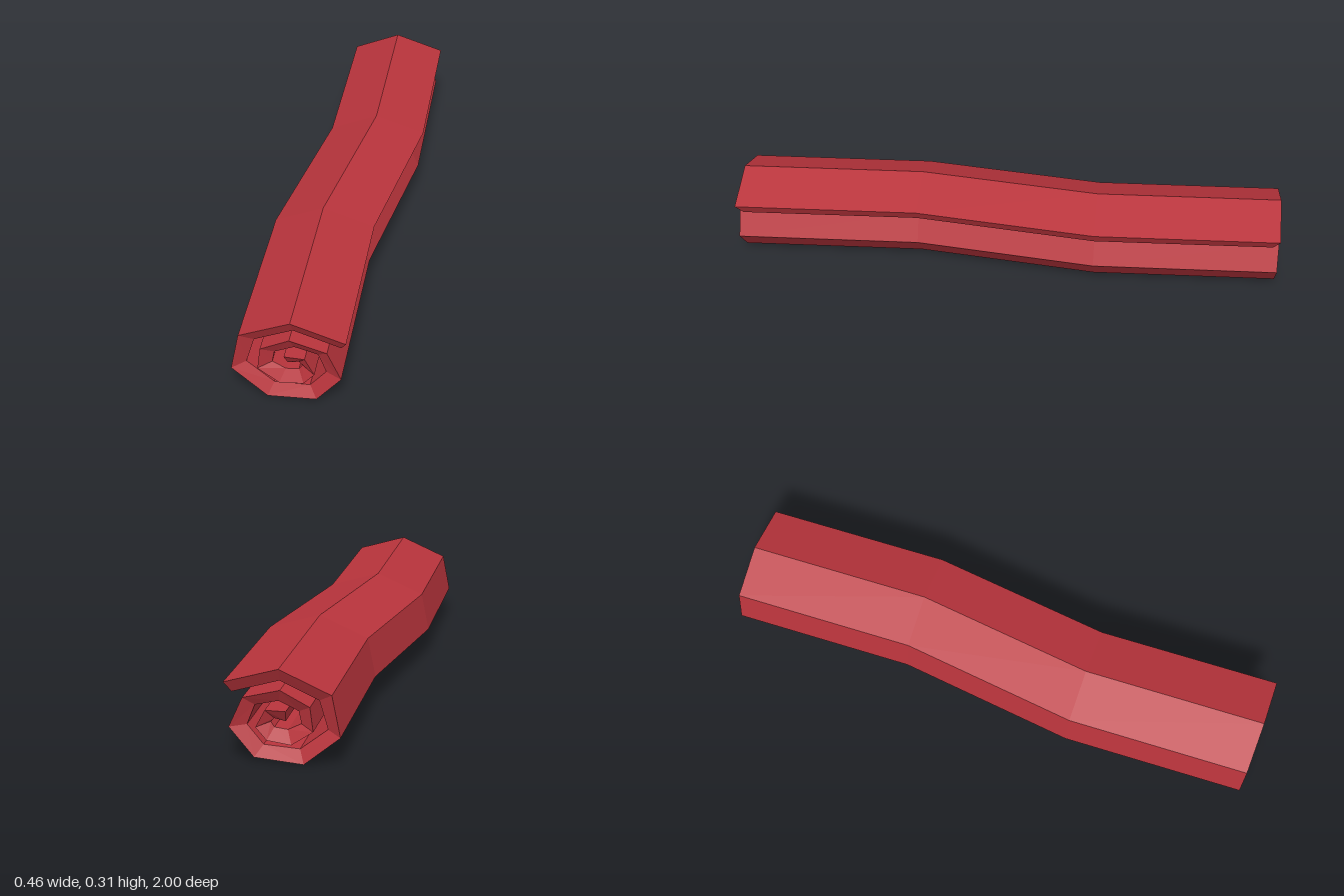
import * as THREE from 'three';

// Spiral section from the loose flap to the core: [outer x, y, inner x, y]
const SPIRAL = [
  [0.193, 0.26, 0.172, 0.222], [0.008, 0.315, 0.012, 0.27],
  [-0.167, 0.24, -0.12, 0.213], [-0.195, 0.1, -0.148, 0.117],
  [-0.073, 0.0, -0.055, 0.044], [0.093, 0.012, 0.067, 0.05],
  [0.177, 0.11, 0.122, 0.115], [0.13, 0.212, 0.095, 0.183],
  [0.004, 0.245, 0.015, 0.202], [-0.095, 0.195, -0.052, 0.172],
  [-0.105, 0.113, -0.06, 0.13], [-0.032, 0.063, -0.015, 0.107],
  [0.05, 0.073, 0.03, 0.112], [0.087, 0.115, 0.042, 0.13],
  [0.055, 0.175, 0.03, 0.142], [-0.015, 0.175, -0.008, 0.135],
];

// Stations along the roll: [z, sideways shift]
const STATIONS = [[1, 0], [0.33, -0.034], [-0.33, 0.034], [-1, 0]];
const RECESS = 0.025; // inner edge of the sheet sits back from each end

function buildGeometry(addFaces) {
  const pos = [];
  addFaces((a, b, c, d) => {
    for (const p of [a, b, c, a, c, d]) pos.push(...p);
  });
  const g = new THREE.BufferGeometry();
  g.setAttribute('position', new THREE.Float32BufferAttribute(pos, 3));
  g.computeVertexNormals();
  return g;
}

export function createModel() {
  const group = new THREE.Group();
  group.name = 'rolledSheet';
  const red = new THREE.MeshStandardMaterial({ color: 0xb9343c, flatShading: true });
  red.name = 'red';

  // Outer and inner points at every station
  const rings = STATIONS.map(([z, dx]) => {
    const zi = Math.abs(z) === 1 ? z * (1 - RECESS) : z;
    return {
      outer: SPIRAL.map(([x, y]) => [x + dx, y, z]),
      inner: SPIRAL.map(([, , x, y]) => [x + dx, y, zi]),
    };
  });

  // Long walls of the sheet, including its two free edges
  const walls = buildGeometry((quad) => {
    const loops = rings.map((r) => [...r.outer, ...r.inner.slice().reverse()]);
    for (let s = 0; s < loops.length - 1; s++) {
      const f = loops[s], b = loops[s + 1];
      for (let i = 0; i < f.length; i++) {
        const j = (i + 1) % f.length;
        quad(f[i], b[i], b[j], f[j]);
      }
    }
  });

  // Spiral end faces
  const ends = buildGeometry((quad) => {
    const f = rings[0], b = rings[rings.length - 1];
    for (let i = 0; i < SPIRAL.length - 1; i++) {
      quad(f.outer[i], f.outer[i + 1], f.inner[i + 1], f.inner[i]);
      quad(b.outer[i], b.inner[i], b.inner[i + 1], b.outer[i + 1]);
    }
  });

  for (const [name, geometry] of [['sheetWalls', walls], ['spiralEnds', ends]]) {
    const mesh = new THREE.Mesh(geometry, red);
    mesh.name = name;
    group.add(mesh);
  }
  return group;
}
